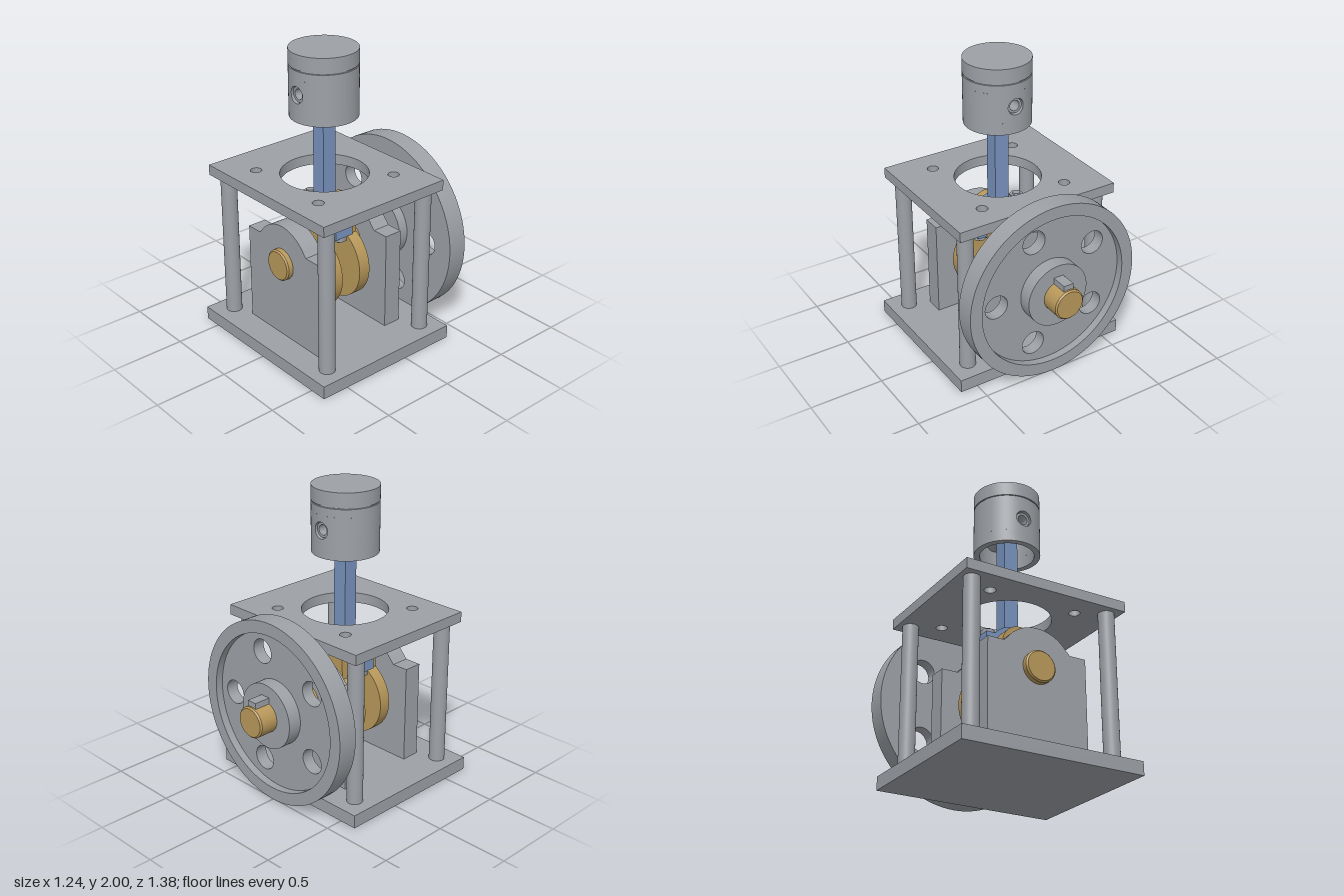
import * as THREE from 'three';
import { toCreasedNormals } from 'three/addons/utils/BufferGeometryUtils.js';
import { ParametricGeometry } from 'three/addons/geometries/ParametricGeometry.js';

const PI = Math.PI;
const CZ = 0.155;   // middle of the engine along z
const AXLE = 0.625; // crankshaft height
const PIN = 0.85;   // crank pin height
const WRIST = 1.74; // wrist pin height

export function createModel() {
  const model = new THREE.Group();
  const paint = (name, color, side = THREE.FrontSide) => {
    const m = new THREE.MeshStandardMaterial({ color, side });
    m.name = name;
    return m;
  };
  const steel = paint('steel grey', 0x9da1a6, THREE.DoubleSide);
  const brass = paint('brass', 0xb8985a);
  const blue = paint('rod blue', 0x7893bf);

  const add = (name, geo, mat, x = 0, y = 0, z = 0) => {
    const mesh = new THREE.Mesh(geo, mat);
    mesh.name = name;
    mesh.position.set(x, y, z);
    model.add(mesh);
    return mesh;
  };
  const box = (w, h, d) => new THREE.BoxGeometry(w, h, d);
  const circle = (x, y, r) => new THREE.Path().absarc(x, y, r, 0, 2 * PI, false);
  const disc = (x, y, r) => new THREE.Shape().absarc(x, y, r, 0, 2 * PI, false);
  // Extrusion running along z from z0 to z1
  const slab = (shape, z0, z1) => {
    const g = new THREE.ExtrudeGeometry(shape, { depth: z1 - z0, bevelEnabled: false, curveSegments: 48 });
    return toCreasedNormals(g.translate(0, 0, z0), 0.5);
  };
  const lathe = (pts) => toCreasedNormals(
    new THREE.LatheGeometry(pts.map(([r, y]) => new THREE.Vector2(r, y)), 64), 0.5);
  // Round bar along z with chamfered ends
  const bar = (r, z0, z1, c = 0.01) => lathe([
    [0, z0], [r - c, z0], [r, z0 + c], [r, z1 - c], [r - c, z1], [0, z1],
  ]).rotateX(PI / 2);

  // Frame: base, posts and bored top plate
  add('base', box(1.24, 0.09, 1.07), steel, 0, 0.045, CZ);
  for (const x of [-0.49, 0.49]) for (const z of [-0.4, 0.4])
    add('post', new THREE.CylinderGeometry(0.053, 0.053, 1, 32), steel, x, 0.59, CZ + z);
  const plate = new THREE.Shape();
  plate.moveTo(-0.575, -0.49).lineTo(0.575, -0.49).lineTo(0.575, 0.49).lineTo(-0.575, 0.49).closePath();
  plate.holes.push(circle(0, 0, 0.285));
  for (const x of [-0.31, 0.31]) for (const z of [-0.31, 0.31]) plate.holes.push(circle(x, z, 0.037));
  add('topPlate', slab(plate, 0, 0.07).rotateX(-PI / 2), steel, 0, 1.09, CZ);

  // Bearing supports with a rounded crown
  const crown = Math.asin((0.76 - AXLE) / 0.265);
  const support = new THREE.Shape();
  support.moveTo(-0.35, 0.09).lineTo(0.35, 0.09).lineTo(0.35, 0.76).lineTo(0.235, 0.76);
  support.absarc(0, AXLE, 0.265, crown + 0.12, PI - crown - 0.12, false);
  support.lineTo(-0.235, 0.76).lineTo(-0.35, 0.76).closePath();
  add('frontSupport', slab(support, 0.378, 0.507), steel);
  add('backSupport', slab(support, -0.19, -0.063), steel);

  // Crankshaft: two shaft ends, two counterweighted webs and the crank pin
  add('frontShaft', bar(0.105, 0.23, 0.55), brass, 0, AXLE);
  add('backShaft', bar(0.105, -0.685, 0.08), brass, 0, AXLE);
  const web = new THREE.Shape();
  web.absarc(0, PIN, 0.13, 0, PI, false);
  web.absarc(0, 0.51, 0.263, 2 * PI / 3, 2 * PI + PI / 3, false);
  web.closePath();
  add('frontWeb', slab(web, 0.229, 0.313), brass);
  add('backWeb', slab(web, 0, 0.084), brass);
  add('crankPin', bar(0.1, 0.05, 0.26), brass, 0, PIN);

  // Flywheel: drilled disc, raised rim, hub and key
  const wheel = disc(0, 0, 0.535);
  for (let i = 0; i < 5; i++) {
    const a = i * 2 * PI / 5;
    wheel.holes.push(circle(0.4 * Math.cos(a), 0.4 * Math.sin(a), 0.082));
  }
  add('flywheelDisc', slab(wheel, -0.46, -0.376), steel, 0, AXLE);
  const rim = disc(0, 0, 0.62);
  rim.holes.push(circle(0, 0, 0.535));
  add('flywheelRim', slab(rim, -0.512, -0.376), steel, 0, AXLE);
  const hub = disc(0, 0, 0.22);
  hub.holes.push(circle(0, 0, 0.1));
  add('flywheelHub', slab(hub, -0.553, -0.307), steel, 0, AXLE);
  add('key', box(0.07, 0.07, 0.34), steel, 0, 0.73, -0.495);

  // Connecting rod: big end with clamping ears, shank and bored small end
  const bigEnd = disc(0, PIN, 0.16);
  bigEnd.holes.push(circle(0, PIN, 0.098));
  add('rodBigEnd', slab(bigEnd, 0.087, 0.227), blue);
  for (const s of [-1, 1]) {
    add('rodEar', box(0.09, 0.175, 0.14), blue, s * 0.15, 0.857, 0.157);
    add('boltHead', new THREE.CylinderGeometry(0.048, 0.048, 0.035, 6), steel, s * 0.145, 0.962, CZ);
    add('bolt', new THREE.CylinderGeometry(0.025, 0.025, 0.27, 24), steel, s * 0.145, 0.857, CZ);
    add('nut', new THREE.CylinderGeometry(0.048, 0.048, 0.035, 6), steel, s * 0.145, 0.752, CZ);
  }
  add('rodShank', box(0.1, 0.68, 0.1), blue, 0, 1.335, CZ);
  const smallEnd = disc(0, WRIST, 0.085);
  smallEnd.holes.push(circle(0, WRIST, 0.052));
  add('rodSmallEnd', slab(smallEnd, CZ - 0.05, CZ + 0.05), blue);

  // Hollow wrist pin
  const pin = disc(0, WRIST, 0.05);
  pin.holes.push(circle(0, WRIST, 0.034));
  add('wristPin', slab(pin, CZ - 0.2, CZ + 0.2), steel);

  // Piston: crown with ring groove, open skirt and a cross bore
  const R = 0.22, RI = 0.18, BORE = 0.055, S = 0.1;
  add('pistonCrown', lathe([
    [R, WRIST + S], [R, 1.894], [0.214, 1.896], [0.214, 1.901], [R, 1.903], [R, 2], [0, 2],
  ]), steel, 0, 0, CZ);
  add('pistonCrownUnderside', lathe([[0, 1.86], [RI, 1.86], [RI, WRIST + S]]), steel, 0, 0, CZ);
  add('pistonSkirt', lathe([
    [RI, WRIST - S], [RI, 1.56], [R, 1.56], [R, WRIST - S],
  ]), steel, 0, 0, CZ);
  // Square wall patch around the bore, wrapped onto the cylinder
  const patch = (r) => new ParametricGeometry((u, v, p) => {
    const c = Math.cos(u * 2 * PI), s = Math.sin(u * 2 * PI);
    const k = THREE.MathUtils.lerp(BORE, S / Math.max(Math.abs(c), Math.abs(s)), v);
    p.set(k * c, k * s, Math.sqrt(r * r - k * k * c * c));
  }, 64, 6);
  const bore = new ParametricGeometry((u, v, p) => {
    const x = BORE * Math.cos(u * 2 * PI), r = THREE.MathUtils.lerp(R, RI, v);
    p.set(x, BORE * Math.sin(u * 2 * PI), Math.sqrt(r * r - x * x));
  }, 64, 1);
  for (const turn of [0, PI]) {
    for (const r of [R, RI]) {
      const a = Math.asin(S / r);
      const wall = new THREE.CylinderGeometry(r, r, 2 * S, 24, 1, true, a, PI - 2 * a);
      add('pistonWall', wall, steel, 0, WRIST, CZ).rotation.y = turn;
      add('pistonBoss', patch(r), steel, 0, WRIST, CZ).rotation.y = turn;
    }
    add('pistonBore', bore, steel, 0, WRIST, CZ).rotation.y = turn;
  }
  return model;
}
